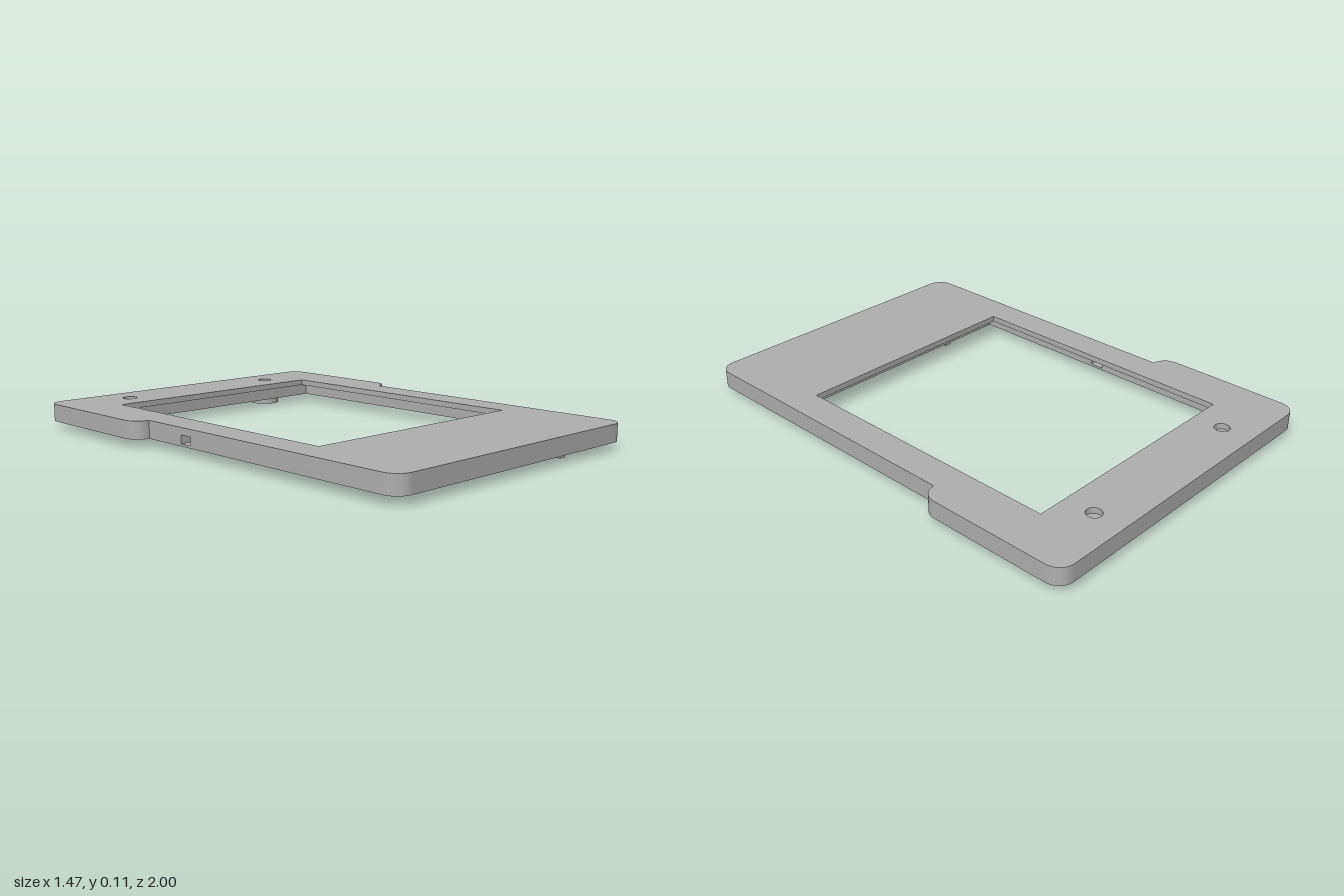
import * as THREE from 'three';
import { toCreasedNormals } from 'three/addons/utils/BufferGeometryUtils.js';

// Shapes are drawn in plan as (x, -z) and extruded upwards.
const BASE = 0.035, LEDGE = 0.085, TOP = 0.11;
const SLOT = { y0: 0.045, y1: 0.08, near: 0.07, far: 0.13 };
const RECESS = { x: 0.57, back: 0.745, front: -0.56 };
const BOSS_X = 0.4, BOSS_Z = -0.865;

// Outer outline, starting and ending at the slot on the -x side
function outline() {
  const n = 0.667, w = 0.735, r = 0.068, step = 0.34;
  const s = new THREE.Shape();
  s.moveTo(-n, SLOT.near);
  s.lineTo(-n, -1 + r);
  s.absarc(-n + r, -1 + r, r, Math.PI, Math.PI * 1.5, false);
  s.absarc(n - r, -1 + r, r, -Math.PI / 2, 0, false);
  s.lineTo(n, step);
  s.absarc(w - r, step + r, r, -Math.PI / 2, 0, false);
  s.absarc(w - r, 1 - r, r, 0, Math.PI / 2, false);
  s.absarc(-w + r, 1 - r, r, Math.PI / 2, Math.PI, false);
  s.absarc(-w + r, step + r, r, Math.PI, Math.PI * 1.5, false);
  s.lineTo(-n, SLOT.far);
  return s;
}

function rectHole(x, y0, y1) {
  const p = new THREE.Path();
  p.moveTo(-x, y0);
  p.lineTo(-x, y1);
  p.lineTo(x, y1);
  p.lineTo(x, y0);
  p.closePath();
  return p;
}

function layer(shape, y0, y1) {
  const g = new THREE.ExtrudeGeometry(shape, { depth: y1 - y0, bevelEnabled: false, curveSegments: 12 });
  g.rotateX(-Math.PI / 2).translate(0, y0, 0);
  return toCreasedNormals(g, 0.5);
}

export function createModel() {
  const group = new THREE.Group();
  const grey = new THREE.MeshStandardMaterial({ color: 0xb0b0b0 });
  grey.name = 'grey';
  const add = (name, geometry, x = 0, y = 0, z = 0) => {
    const mesh = new THREE.Mesh(geometry, grey);
    mesh.name = name;
    mesh.position.set(x, y, z);
    group.add(mesh);
  };
  const pocket = () => rectHole(0.31, -0.955, -0.595);

  // Top plate with the window and two shallow round sinks
  const face = outline();
  face.holes.push(rectHole(0.533, -0.5, 0.735));
  for (const side of [-1, 1]) {
    const sink = new THREE.Path();
    sink.absarc(side * BOSS_X, -BOSS_Z, 0.032, 0, Math.PI * 2, true);
    face.holes.push(sink);
  }
  add('topPlate', layer(face, LEDGE, TOP));

  // Frame body with the stepped recess and the small rear pocket
  const body = outline();
  body.holes.push(rectHole(RECESS.x, RECESS.front, RECESS.back), pocket());
  add('lowerFrame', layer(body, BASE, SLOT.y0));
  add('upperFrame', layer(body, SLOT.y1, LEDGE));

  // Middle of the frame, cut through by the side slot
  const cut = outline();
  cut.lineTo(-RECESS.x, SLOT.far);
  cut.lineTo(-RECESS.x, RECESS.back);
  cut.lineTo(RECESS.x, RECESS.back);
  cut.lineTo(RECESS.x, RECESS.front);
  cut.lineTo(-RECESS.x, RECESS.front);
  cut.lineTo(-RECESS.x, SLOT.near);
  cut.closePath();
  cut.holes.push(pocket());
  add('slottedFrame', layer(cut, SLOT.y0, SLOT.y1));

  // Round bosses underneath, each with a blind hole
  const profile = [[0, 0.025], [0.017, 0.025], [0.017, 0], [0.066, 0], [0.066, BASE]]
    .map(([x, y]) => new THREE.Vector2(x, y));
  const boss = toCreasedNormals(new THREE.LatheGeometry(profile, 32), 0.5);
  for (const side of [-1, 1]) add('boss', boss, side * BOSS_X, 0, BOSS_Z);

  // Pegs at opposite corners of the pocket
  const peg = new THREE.BoxGeometry(0.033, LEDGE - 0.01, 0.03);
  for (const [x, z] of [[0.31, 0.94], [-0.31, 0.6]]) add('peg', peg, x, (LEDGE + 0.01) / 2, z);

  return group;
}
